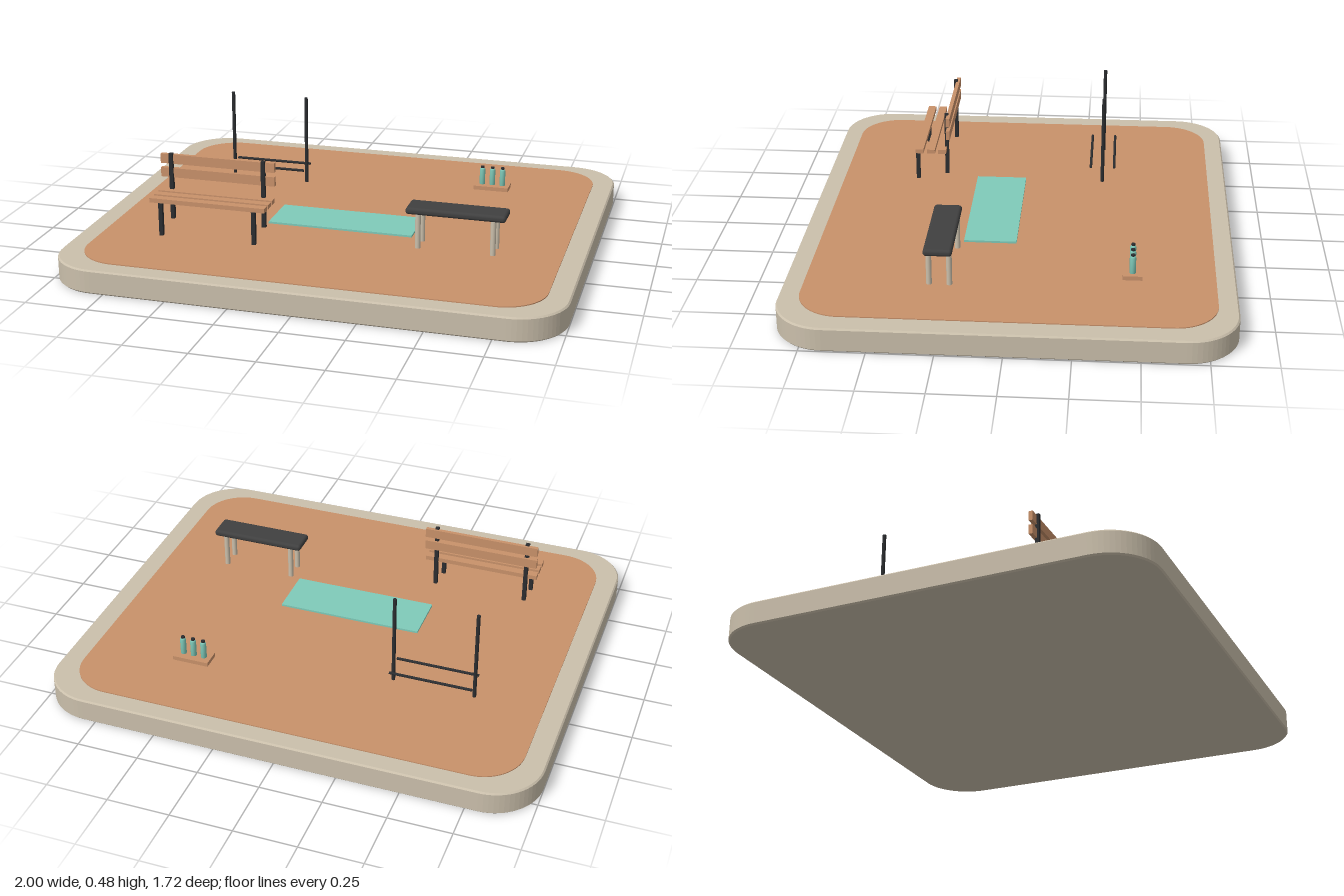
import * as THREE from 'three';
import { RoundedBoxGeometry } from 'three/addons/geometries/RoundedBoxGeometry.js';

const material = (name, color) => {
  const m = new THREE.MeshStandardMaterial({ color });
  m.name = name;
  return m;
};

export function createModel() {
  const stone = material('stone', 0xcabfab);
  const wood = material('wood', 0xc8916a);
  const teal = material('teal', 0x7fcab9);
  const black = material('black metal', 0x2b2d30);
  const charcoal = material('charcoal padding', 0x404040);

  const model = new THREE.Group();
  model.name = 'exerciseTerrace';

  const group = (name) => {
    const g = new THREE.Group();
    g.name = name;
    model.add(g);
    return g;
  };
  const add = (parent, name, geometry, mat, x, y, z) => {
    const mesh = new THREE.Mesh(geometry, mat);
    mesh.name = name;
    mesh.position.set(x, y, z);
    parent.add(mesh);
    return mesh;
  };
  // Box given by its size, centre x and z, and its bottom
  const box = (parent, name, mat, w, h, d, x, bottom, z) =>
    add(parent, name, new THREE.BoxGeometry(w, h, d), mat, x, bottom + h / 2, z);
  // Upright cylinder from bottom to top
  const post = (parent, name, mat, r, bottom, top, x, z) =>
    add(parent, name, new THREE.CylinderGeometry(r, r, top - bottom, 16), mat, x, (bottom + top) / 2, z);

  // Horizontal slab with rounded corners and a small bevel
  const slab = (name, mat, hx, hz, r, bottom, top, bevel) => {
    const x = hx - bevel, z = hz - bevel, c = r - bevel;
    const s = new THREE.Shape();
    s.moveTo(x, z - c);
    s.absarc(x - c, z - c, c, 0, Math.PI / 2);
    s.absarc(c - x, z - c, c, Math.PI / 2, Math.PI);
    s.absarc(c - x, c - z, c, Math.PI, Math.PI * 1.5);
    s.absarc(x - c, c - z, c, Math.PI * 1.5, Math.PI * 2);
    s.closePath();
    const geo = new THREE.ExtrudeGeometry(s, {
      depth: top - bottom - 2 * bevel, curveSegments: 8,
      bevelEnabled: bevel > 0, bevelThickness: bevel, bevelSize: bevel, bevelSegments: 1,
    });
    geo.rotateX(-Math.PI / 2);
    add(model, name, geo, mat, 0, bottom + bevel, 0);
  };

  // Ground
  slab('base', stone, 1, 0.862, 0.2, 0, 0.097, 0.006);
  slab('floor', wood, 0.913, 0.785, 0.17, 0.093, 0.101, 0);

  // Exercise mat
  box(model, 'mat', teal, 0.6, 0.011, 0.21, 0, 0.098, 0.103);

  // Slatted park bench
  const bench = group('parkBench');
  const benchX = -0.469;
  for (const z of [0.451, 0.402, 0.354]) {
    box(bench, 'seatSlat', wood, 0.48, 0.018, 0.034, benchX, 0.243, z);
  }
  for (const y of [0.309, 0.366]) {
    box(bench, 'backSlat', wood, 0.48, 0.039, 0.016, benchX, y, 0.328);
  }
  for (const side of [-1, 1]) {
    const x = benchX + side * 0.194;
    box(bench, 'frontLeg', black, 0.016, 0.135, 0.016, x, 0.108, 0.463);
    box(bench, 'backPost', black, 0.016, 0.276, 0.016, x, 0.135, 0.337);
  }

  // Padded workout bench
  const workout = group('workoutBench');
  add(workout, 'pad', new RoundedBoxGeometry(0.396, 0.028, 0.11, 3, 0.012), charcoal, 0.497, 0.254, 0.268);
  for (const x of [0.348, 0.646]) {
    for (const z of [0.229, 0.307]) post(workout, 'leg', stone, 0.011, 0.1, 0.244, x, z);
  }

  // Metal stand with two low rails
  const stand = group('barStand');
  for (const x of [-0.636, -0.304]) post(stand, 'upright', black, 0.0075, 0.1, 0.484, x, -0.331);
  for (const z of [-0.281, -0.381]) {
    const rail = post(stand, 'rail', black, 0.0055, 0, 0.336, 0, 0);
    rail.rotation.z = Math.PI / 2;
    rail.position.set(-0.47, 0.168, z);
  }

  // Bottles on a tray
  const bottles = group('bottleTray');
  box(bottles, 'tray', wood, 0.15, 0.018, 0.075, 0.497, 0.1, -0.465);
  const profile = [[0, 0], [0.012, 0], [0.012, 0.066], [0.008, 0.073], [0, 0.073]]
    .map(([x, y]) => new THREE.Vector2(x, y));
  for (const x of [0.453, 0.497, 0.541]) {
    add(bottles, 'bottle', new THREE.LatheGeometry(profile, 16), teal, x, 0.118, -0.465);
    post(bottles, 'bottleCap', black, 0.008, 0.189, 0.198, x, -0.465);
  }

  return model;
}
